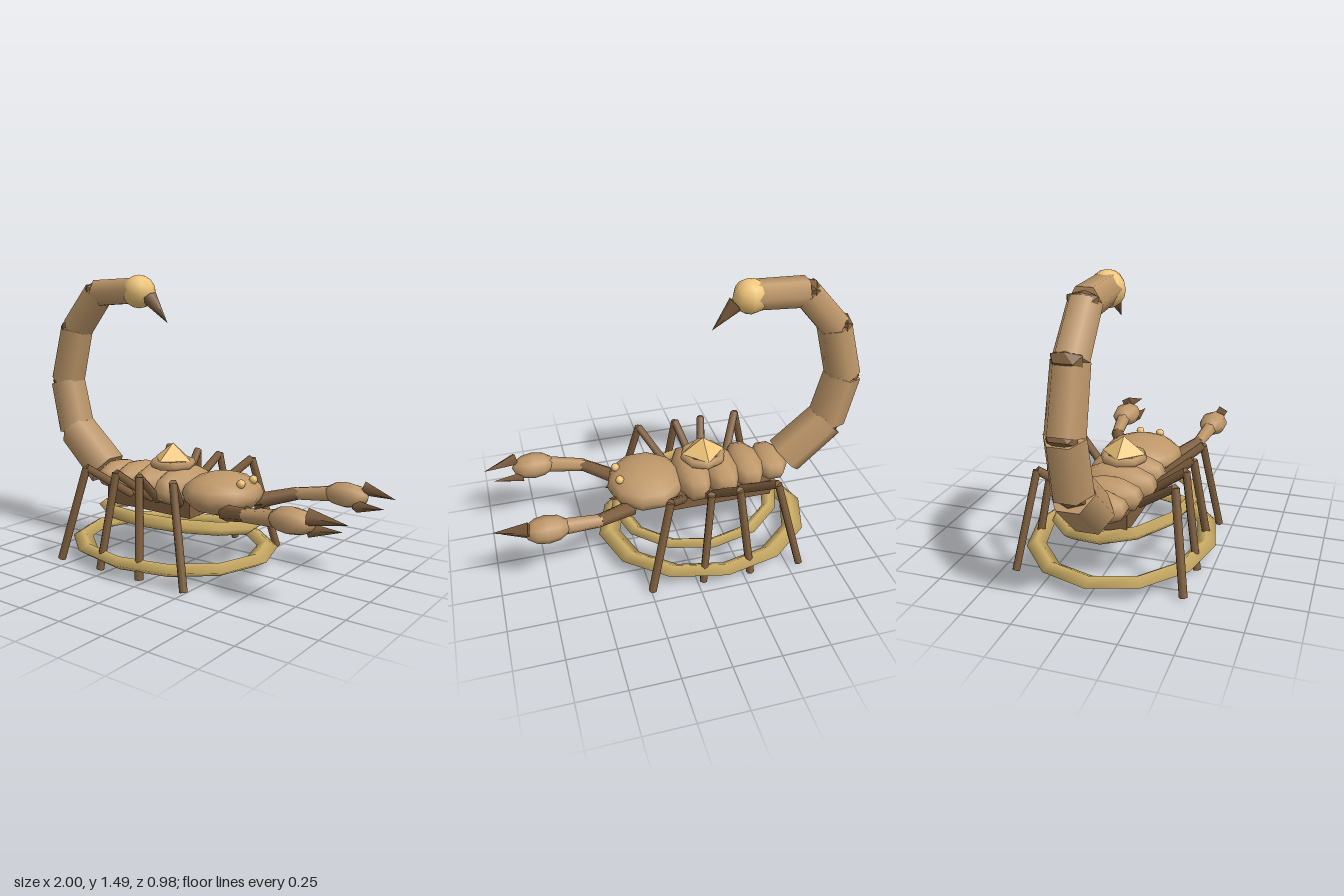
import * as THREE from 'three';

const mat = (color) => new THREE.MeshStandardMaterial({ color });
const TAN = mat(0xbf986a), BROWN = mat(0x80603f), GOLD = mat(0xcfb068), BRIGHT = mat(0xf0c67a);

export function createModel() {
  const model = new THREE.Group();
  const V = (x, y, z) => new THREE.Vector3(x, y, z);

  const add = (name, geometry, material, x, y, z) => {
    const mesh = new THREE.Mesh(geometry, material);
    mesh.name = name;
    mesh.position.set(x, y, z);
    model.add(mesh);
    return mesh;
  };

  // Tapered rod or cone running from point a to point b
  const rod = (name, a, b, ra, rb, sides, material) => {
    const dir = b.clone().sub(a);
    const mid = a.clone().add(b).multiplyScalar(0.5);
    const mesh = add(name, new THREE.CylinderGeometry(rb, ra, dir.length(), sides), material, mid.x, mid.y, mid.z);
    mesh.quaternion.setFromUnitVectors(V(0, 1, 0), dir.normalize());
    return mesh;
  };

  // Low-poly ellipsoid with half sizes rx, ry, rz
  const ellipsoid = (name, c, rx, ry, rz, material, sides = 8, rings = 6) => {
    const geo = new THREE.SphereGeometry(1, sides, rings);
    geo.scale(rx, ry, rz);
    return add(name, geo, material, ...c);
  };

  // Head shield and abdomen plates
  ellipsoid('headShield', [0.175, 0.395, 0], 0.205, 0.107, 0.22, TAN, 10, 8);
  [[-0.08, 0.1, 0.105, 0.2], [-0.235, 0.1, 0.103, 0.2], [-0.385, 0.095, 0.092, 0.17], [-0.525, 0.092, 0.078, 0.14]]
    .forEach(([x, rx, ry, rz], i) => {
      const geo = new THREE.SphereGeometry(1, 8, 6).rotateY(Math.PI / 8);
      geo.scale(rx * 1.06, ry, rz * 1.08);
      add('abdomenPlate' + (i + 1), geo, TAN, x, 0.395, 0);
    });
  add('belly', new THREE.BoxGeometry(0.56, 0.09, 0.26), BROWN, -0.22, 0.31, 0);

  // Tail: straight hexagonal sections along an arc, with dark knobs in the joints
  const joints = [[-0.62, 0.41], [-0.85, 0.615], [-0.915, 0.89], [-0.835, 1.19], [-0.66, 1.395], [-0.39, 1.41]]
    .map(([x, y]) => V(x, y, 0));
  const radii = [0.113, 0.103, 0.095, 0.086, 0.08];
  radii.forEach((r, i) => rod('tailSection' + (i + 1), joints[i], joints[i + 1], r, r * 0.96, 6, TAN));
  [[-0.88, 0.605], [-0.95, 0.89], [-0.875, 1.2], [-0.685, 1.405]].forEach(([x, y], i) => {
    const knob = add('tailKnob' + (i + 1), new THREE.IcosahedronGeometry(0.052, 0), BROWN, x, y, 0);
    knob.scale.z = 1.6;
  });
  ellipsoid('venomBulb', [-0.37, 1.405, 0], 0.09, 0.088, 0.086, BRIGHT, 8, 8);
  rod('stinger', V(-0.3, 1.375, 0), V(-0.18, 1.245, 0), 0.042, 0, 6, BROWN);

  // Crystal on the back with its collar
  const collar = add('crystalCollar', new THREE.TorusGeometry(0.1, 0.024, 6, 8), TAN, -0.147, 0.507, 0);
  collar.rotation.set(Math.PI / 2, 0, 0);
  const crystal = add('crystal', new THREE.OctahedronGeometry(0.115, 0), BRIGHT, -0.147, 0.53, 0);
  crystal.scale.y = 0.75;

  // Parts that repeat on both sides
  for (const s of [1, -1]) {
    const side = s > 0 ? 'Right' : 'Left';
    ellipsoid('eye' + side, [0.322, 0.472, s * 0.057], 0.023, 0.023, 0.023, BRIGHT, 8, 6);
    rod('mouthpart' + side, V(0.32, 0.355, s * 0.05), V(0.385, 0.352, s * 0.05), 0.024, 0, 4, BROWN);

    // Legs: foot x, knee x, hip x
    [[-0.565, -0.445, -0.32], [-0.29, -0.24, -0.18], [-0.03, -0.088, -0.14], [0.245, 0.125, 0.0]]
      .forEach(([foot, knee, hip], i) => {
        const k = V(knee, 0.505, s * 0.35);
        rod(`upperLeg${side}${i + 1}`, V(hip, 0.34, s * 0.14), k, 0.024, 0.022, 6, BROWN);
        rod(`lowerLeg${side}${i + 1}`, k, V(foot, 0.008, s * 0.428), 0.021, 0.021, 6, BROWN);
      });

    // Claw arm, hand and two fingers
    const elbow = V(0.475, 0.385, s * 0.248);
    rod('upperArm' + side, V(0.28, 0.335, s * 0.13), elbow, 0.042, 0.034, 6, BROWN);
    rod('forearm' + side, V(0.46, 0.382, s * 0.245), V(0.68, 0.41, s * 0.273), 0.034, 0.044, 6, TAN);
    const hand = new THREE.SphereGeometry(1, 8, 6).rotateZ(Math.PI / 2);
    hand.scale(0.115, 0.065, 0.08);
    add('hand' + side, hand, TAN, 0.735, 0.412, s * 0.273);
    rod('upperFinger' + side, V(0.825, 0.452, s * 0.3), V(1.0, 0.432, s * 0.255), 0.04, 0, 4, BROWN);
    rod('lowerFinger' + side, V(0.8, 0.372, s * 0.24), V(0.958, 0.385, s * 0.22), 0.034, 0, 4, BROWN);
  }

  // Oval rings below: a level one and a smaller tilted one
  const ring = (name, x, y, rx, rz, tube, height, tilt) => {
    const geo = new THREE.TorusGeometry(1 - tube, tube, 4, 12).rotateX(Math.PI / 2);
    geo.scale(rx, height / tube, rz);
    add(name, geo, GOLD, x, y, 0).rotation.x = tilt;
  };
  ring('lowerRing', -0.148, 0.076, 0.588, 0.49, 0.1, 0.033, 0);
  ring('upperRing', -0.105, 0.235, 0.47, 0.38, 0.085, 0.034, -0.148);

  return model;
}
